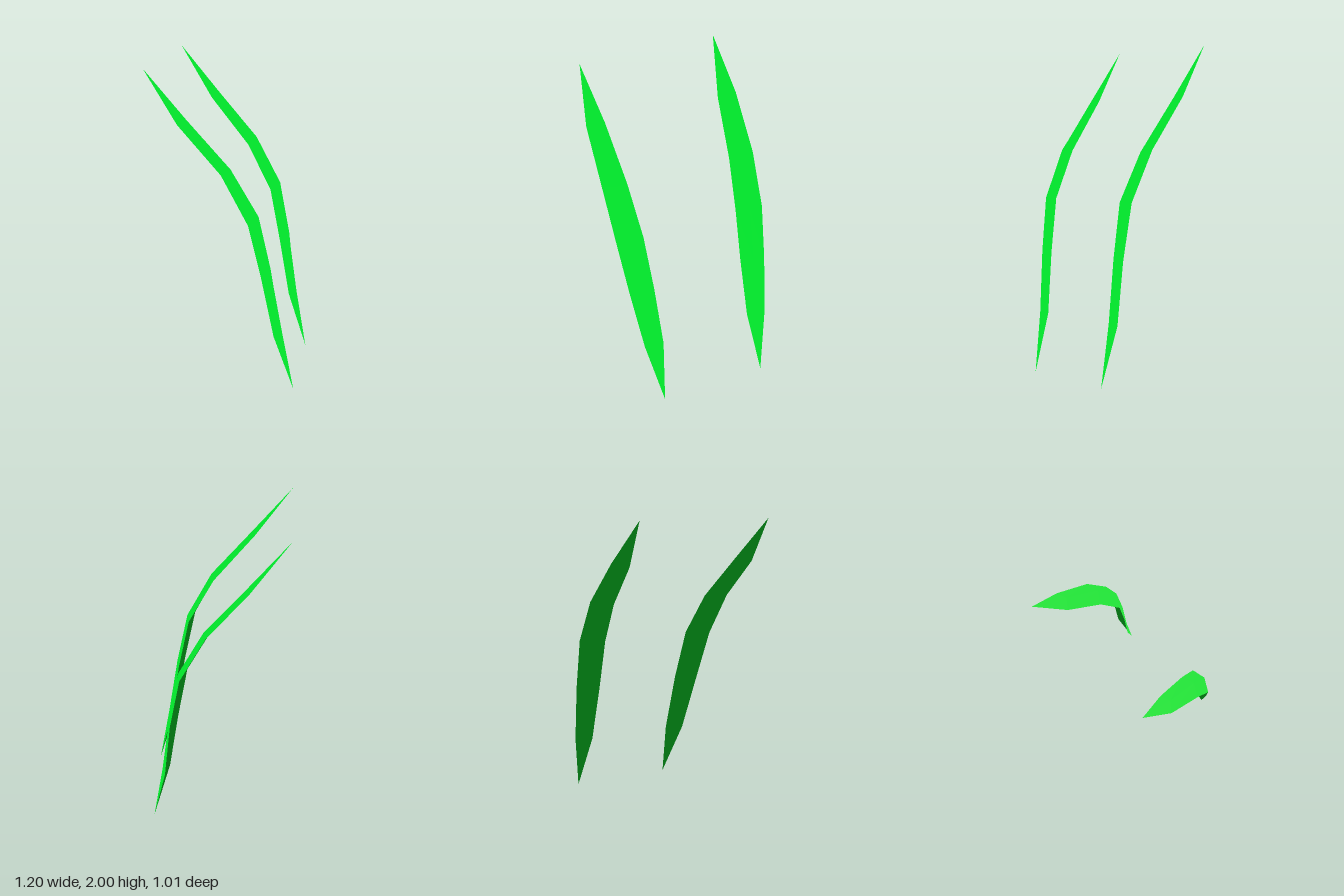
import * as THREE from 'three';

const leafGreen = new THREE.MeshStandardMaterial({ color: 0x00e62a, side: THREE.DoubleSide });
leafGreen.name = 'leaf green';

// Forward offset of the central ridge from the middle of each row.
const RIDGE = new THREE.Vector3(0.018, 0.01, 0.024);

// A thin blade: pointed at both ends, with rows of left edge, ridge and right edge between.
function makeBlade(name, tip, base, left, right) {
  const points = [tip];
  left.forEach((l, i) => {
    const a = new THREE.Vector3(...l);
    const b = new THREE.Vector3(...right[i]);
    const ridge = a.clone().lerp(b, 0.5).add(RIDGE);
    points.push(l, ridge.toArray(), right[i]);
  });
  points.push(base);

  // Two strips, one on each side of the ridge.
  const index = [];
  const end = points.length - 1;
  for (let side = 0; side < 2; side++) {
    index.push(0, 1 + side, 2 + side);
    for (let row = 0; row < left.length - 1; row++) {
      const a = 1 + row * 3 + side;
      index.push(a, a + 3, a + 4, a, a + 4, a + 1);
    }
    index.push(end, end - 2 + side, end - 3 + side);
  }

  // Upward normals give the foliage even shading.
  const normals = points.flatMap(() => [0, 1, 0]);
  const geometry = new THREE.BufferGeometry();
  geometry.setAttribute('position', new THREE.Float32BufferAttribute(points.flat(), 3));
  geometry.setAttribute('normal', new THREE.Float32BufferAttribute(normals, 3));
  geometry.setIndex(index);
  const mesh = new THREE.Mesh(geometry, leafGreen);
  mesh.name = name;
  return mesh;
}

export function createModel() {
  const group = new THREE.Group();
  group.name = 'grassBlades';
  group.add(
    makeBlade('frontBlade', [-0.6, 1.92, 0.043], [0.14, 0.0, 0.507],
      [[-0.483, 1.61, 0.212], [-0.305, 1.33, 0.385], [-0.18, 1.04, 0.475], [-0.095, 0.72, 0.49], [0, 0.35, 0.49]],
      [[-0.388, 1.63, 0.157], [-0.18, 1.34, 0.305], [-0.042, 1.06, 0.392], [0.033, 0.735, 0.415], [0.098, 0.365, 0.43]]),
    makeBlade('backBlade', [0.02, 2.0, -0.507], [0.6, 0.06, 0.058],
      [[0.128, 1.68, -0.33], [0.278, 1.39, -0.145], [0.37, 1.11, -0.032], [0.422, 0.79, 0.0], [0.485, 0.42, 0.022]],
      [[0.22, 1.71, -0.387], [0.4, 1.42, -0.22], [0.508, 1.13, -0.11], [0.552, 0.8, -0.065], [0.58, 0.43, -0.035]])
  );
  return group;
}
